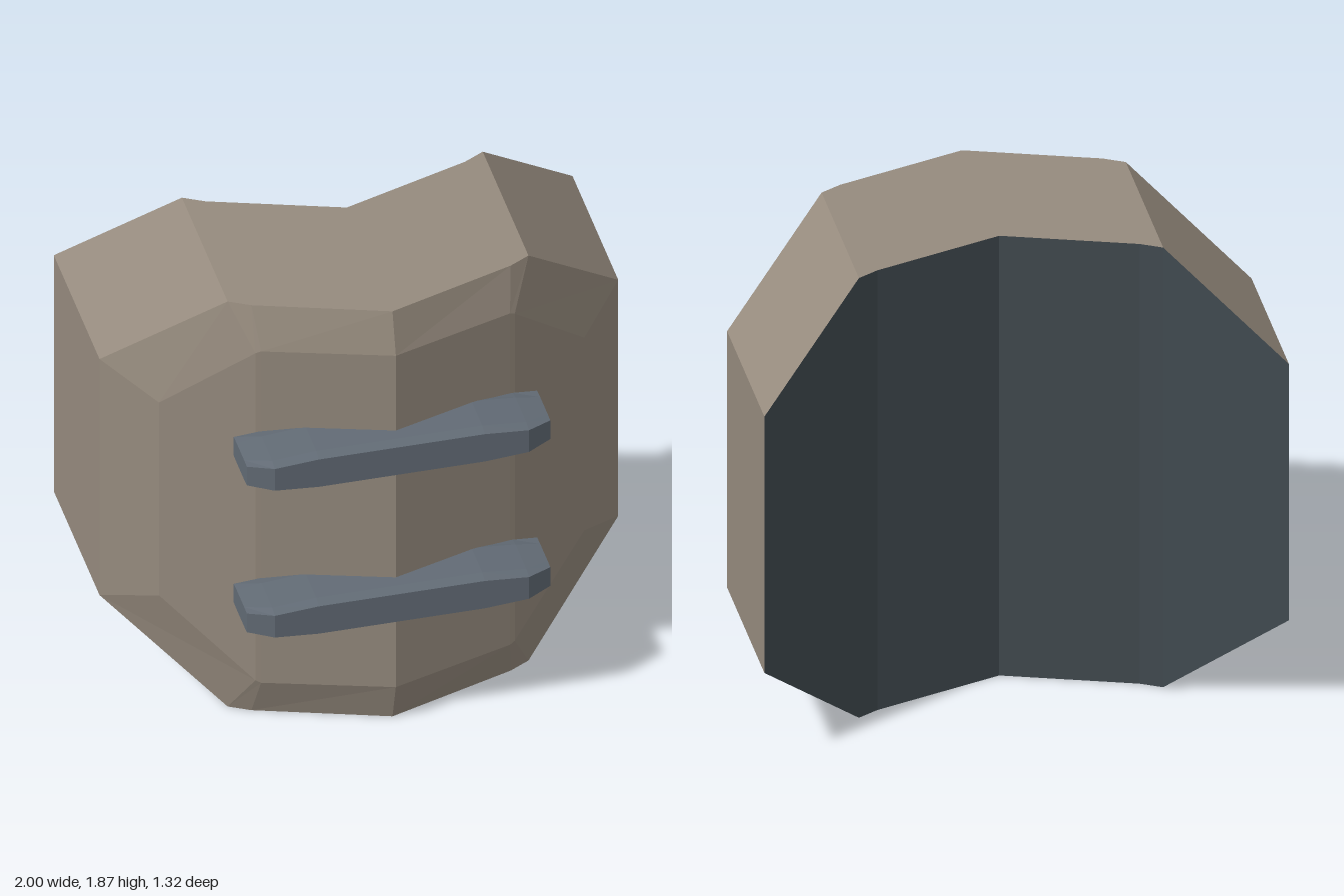
import * as THREE from 'three';

const shell = new THREE.MeshStandardMaterial({ color: 0x968b7e });
shell.name = 'warm grey shell';
const lining = new THREE.MeshStandardMaterial({ color: 0x424b51 });
lining.name = 'dark slate lining';
const metal = new THREE.MeshStandardMaterial({ color: 0x626b75 });
metal.name = 'blue grey bar';

const MID = 0.935; // half of the plate's height

// Faceted mesh from a list of quads, each four points
function quadMesh(name, quads, material) {
  const pos = [];
  for (const [a, b, c, d] of quads) {
    for (const p of [a, b, c, a, c, d]) pos.push(...p);
  }
  const geo = new THREE.BufferGeometry();
  geo.setAttribute('position', new THREE.Float32BufferAttribute(pos, 3));
  geo.computeVertexNormals();
  const mesh = new THREE.Mesh(geo, material);
  mesh.name = name;
  return mesh;
}

// Quads joining two closed loops
function bridge(a, b) {
  return a.map((p, i) => {
    const j = (i + 1) % a.length;
    return [p, a[j], b[j], b[i]];
  });
}

// Closed outline from half columns [x, half height, z], mirrored left-right and up-down
function outline(half) {
  const left = half.slice(1).reverse().map(([x, h, z]) => [-x, h, z]);
  const cols = [...left, ...half];
  const bottom = cols.map(([x, h, z]) => [x, MID - h, z]);
  const top = cols.map(([x, h, z]) => [x, MID + h, z]).reverse();
  return [...bottom, ...top];
}

// Fill an outline with one quad per pair of columns
function fill(loop, backward) {
  const n = loop.length;
  const quads = [];
  for (let c = 0; c < n / 2 - 1; c++) {
    const q = [loop[c], loop[c + 1], loop[n - 2 - c], loop[n - 1 - c]];
    quads.push(backward ? q.reverse() : q);
  }
  return quads;
}

// Octagonal section of a bar at x
function barSection([x, zFront, hFront, hMid, hBack]) {
  const upper = [[0.415, hBack], [0.46, hMid], [zFront - 0.04, hMid], [zFront, hFront]];
  return [
    ...upper.map(([z, h]) => [x, h, z]),
    ...upper.map(([z, h]) => [x, -h, z]).reverse(),
  ];
}

function makeBar(name, y) {
  const half = [
    [0.32, 0.66, 0.063, 0.075, 0.062],
    [0.49, 0.66, 0.05, 0.06, 0.05],
    [0.585, 0.61, 0.043, 0.045, 0.043],
  ];
  const left = half.map(([x, ...rest]) => [-x, ...rest]).reverse();
  const rings = [...left, ...half].map(barSection);
  const quads = [];
  for (let i = 0; i < rings.length - 1; i++) quads.push(...bridge(rings[i], rings[i + 1]));
  // end caps
  quads.push(...fill(rings[0], true), ...fill(rings[rings.length - 1], false));
  const bar = quadMesh(name, quads, metal);
  bar.position.y = y;
  return bar;
}

export function createModel() {
  const model = new THREE.Group();
  model.name = 'chestPlate';

  // V-bent octagonal rim, its rear copy, and the smaller raised front face
  const rim = [[0, 0.935, 0.52], [0.5, 0.935, 0.35], [0.58, 0.935, 0.305], [1, 0.545, 0.02]];
  const front = outline(rim);
  const back = outline(rim.map(([x, h, z]) => [x, h, z - 0.68]));
  const face = outline([[0, 0.765, 0.57], [0.48, 0.765, 0.417], [0.5, 0.755, 0.41], [0.82, 0.445, 0.21]]);

  model.add(quadMesh('plateSides', bridge(back, front), shell));
  model.add(quadMesh('plateBevel', bridge(front, face), shell));
  model.add(quadMesh('plateFace', fill(face, false), shell));
  model.add(quadMesh('plateBack', fill(back, true), lining));

  // Two cross bars on the front
  model.add(makeBar('upperBar', 1.28));
  model.add(makeBar('lowerBar', 0.602));
  return model;
}
